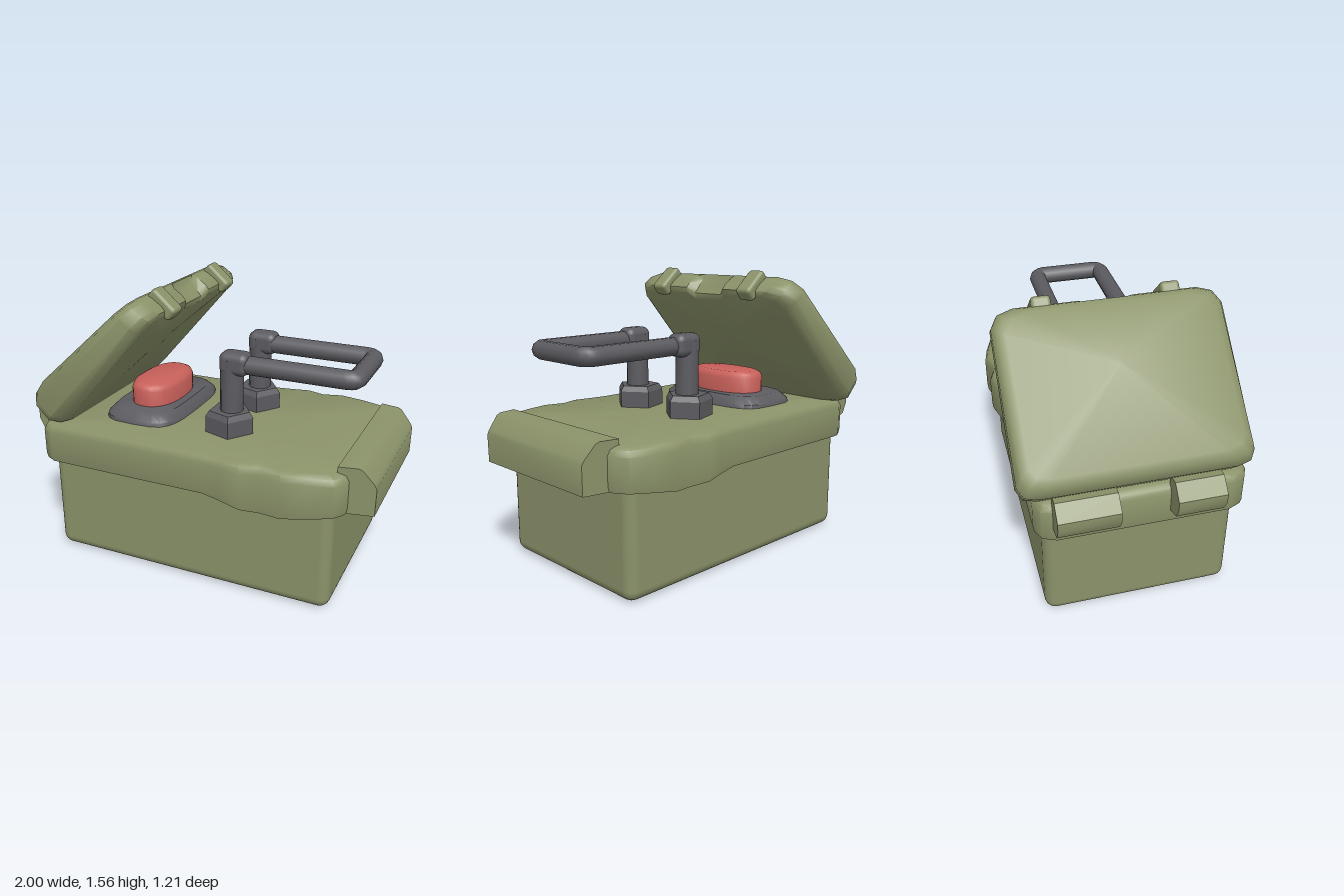
import * as THREE from 'three';
import { toCreasedNormals } from 'three/addons/utils/BufferGeometryUtils.js';
import { RoundedBoxGeometry } from 'three/addons/geometries/RoundedBoxGeometry.js';

const material = (name, color) => {
  const m = new THREE.MeshStandardMaterial({ color });
  m.name = name;
  return m;
};

// Closed solid through rings of [x, y, z] points, capped at both ends
function loft(rings, crease = 0.75) {
  const n = rings[0].length, pos = rings.flat(2), index = [];
  const centre = ring => [0, 1, 2].map(k => ring.reduce((s, p) => s + p[k], 0) / n);
  const last = rings.length - 1, c0 = n * rings.length, c1 = c0 + 1;
  pos.push(...centre(rings[0]), ...centre(rings[last]));
  for (let i = 0; i < n; i++) {
    const j = (i + 1) % n;
    for (let r = 0; r < last; r++) {
      const a = r * n + i, b = r * n + j;
      index.push(a, b, b + n, a, b + n, a + n);
    }
    index.push(c0, j, i, c1, last * n + i, last * n + j);
  }
  // Turn the faces outward by the sign of the volume
  const v = i => new THREE.Vector3().fromArray(pos, i * 3);
  let volume = 0;
  for (let i = 0; i < index.length; i += 3) volume += v(index[i]).dot(v(index[i + 1]).cross(v(index[i + 2])));
  if (volume < 0) index.reverse();
  const g = new THREE.BufferGeometry();
  g.setAttribute('position', new THREE.Float32BufferAttribute(pos, 3));
  g.setIndex(index);
  return toCreasedNormals(g, crease);
}

// Superellipse ring for the button and its plate
const oval = (cx, y, rx, rz, power) => Array.from({ length: 24 }, (_, i) => {
  const a = i / 24 * Math.PI * 2, c = Math.cos(a), s = Math.sin(a);
  return [cx + rx * Math.sign(c) * Math.abs(c) ** power, y, rz * Math.sign(s) * Math.abs(s) ** power];
});

export function createModel() {
  const model = new THREE.Group();
  const green = material('olive green', 0x8a9269);
  const grey = material('dark grey', 0x5c5b60);
  const red = material('button red', 0xc8605a);
  const add = (name, geometry, mat, x = 0, y = 0, z = 0) => {
    const mesh = new THREE.Mesh(geometry, mat);
    mesh.name = name;
    mesh.position.set(x, y, z);
    model.add(mesh);
    return mesh;
  };

  // Lower case
  add('body', new RoundedBoxGeometry(1.64, 0.66, 1.005, 3, 0.06), green, -0.01, 0.33, 0.01);

  // Rim with bulging sides and a sagging lower edge
  const side = [[-0.89, 0.45], [-0.86, 0.52], [-0.8, 0.55], [0.13, 0.55], [0.24, 0.566], [0.35, 0.588],
    [0.45, 0.556], [0.57, 0.588], [0.7, 0.562], [0.82, 0.525], [0.86, 0.47], [0.88, 0.4]];
  const outline = [...side, ...side.map(([x, z]) => [x, -z]).reverse()];
  const rimRing = (y, inset, sag) => outline.map(([x, z]) => [
    x * (1 - inset / 0.88),
    y - sag * Math.max(0, 1 - Math.abs(x - 0.46) / 0.34),
    z * (1 - inset / 0.55) + 0.015]);
  add('rim', loft([rimRing(0.57, 0.005, 0.04), rimRing(0.6, 0, 0.03), rimRing(0.745, 0, 0),
    rimRing(0.775, 0.012, 0), rimRing(0.79, 0.04, 0)]), green);

  // Raised lip on the end of the rim
  const lip = [[0.8, 0.57], [0.998, 0.57], [1, 0.72], [0.985, 0.745], [0.93, 0.81], [0.91, 0.82], [0.81, 0.82]];
  add('lip', loft([-1, 1].map(s => lip.map(([x, y]) => [x, y, 0.02 + s * (0.445 - 0.2 * (x - 0.82))]))), green);

  // Hinge knuckles behind the lid
  const knuckle = [[-0.86, 0.65], [-0.9, 0.645], [-0.97, 0.67], [-1, 0.73], [-1, 0.78], [-0.93, 0.85], [-0.86, 0.84]];
  for (const [z0, z1] of [[-0.45, -0.14], [0.14, 0.39]])
    add('hinge', loft([z0, z1].map(z => knuckle.map(([x, y]) => [x, y, z]))), green);

  // Open lid: t runs from inner to outer face, u from hinge to free edge
  const mix = THREE.MathUtils.lerp;
  const lidPoint = (t, u, z) => [
    mix(mix(-0.73, -0.15, u), mix(-0.915, -0.28, u), t),
    mix(mix(0.79, 1.45, u), mix(0.97, 1.54, u), t), z - 0.02];
  const lidRing = (t, low, high, half, notch) => {
    const h = [[low + 0.08, half], [low + 0.02, half - 0.03], [low, half - 0.1]];
    const f = [[high, half - 0.12], [high, 0.14], [high - notch, 0.1]];
    const e = [[high - 0.11, half], [high - 0.03, half - 0.04]];
    const half1 = [...h.reverse(), ...e, ...f];
    return [...half1, ...half1.map(([u, z]) => [u, -z]).reverse()].map(([u, z]) => lidPoint(t, u, z));
  };
  add('lid', loft([
    lidRing(0, 0, 0.96, 0.53, 0.05), lidRing(0.1, -0.04, 0.99, 0.565, 0.05), lidRing(0.3, -0.08, 1, 0.59, 0.05),
    lidRing(0.7, -0.08, 1, 0.59, 0.03), lidRing(0.9, -0.04, 0.99, 0.57, 0), lidRing(1, 0.01, 0.96, 0.53, 0)]), green);

  // Catches on the free edge of the lid
  for (const z of [-0.35, 0.31])
    add('lidCatch', new RoundedBoxGeometry(0.17, 0.08, 0.1, 2, 0.02), green, -0.197, 1.48, z).rotation.z = -0.72;

  // Button and its plate
  add('buttonPlate', loft([oval(-0.39, 0.77, 0.23, 0.37, 0.5), oval(-0.39, 0.81, 0.225, 0.365, 0.5),
    oval(-0.39, 0.85, 0.185, 0.32, 0.5)]), grey);
  add('button', loft([oval(-0.39, 0.83, 0.138, 0.24, 0.85), oval(-0.39, 0.935, 0.138, 0.24, 0.85),
    oval(-0.39, 0.958, 0.128, 0.23, 0.85), oval(-0.39, 0.97, 0.105, 0.205, 0.85)]), red);

  // Handle feet, posts and elbows
  for (const z of [-0.195, 0.21]) {
    const foot = new THREE.CylinderGeometry(0.115, 0.135, 0.03, 5);
    const collar = new THREE.CylinderGeometry(0.135, 0.135, 0.1, 5);
    for (const [g, y] of [[collar, 0.83], [foot, 0.895]]) {
      g.rotateY(Math.PI / 2);
      add('handleFoot', toCreasedNormals(g, 0.6), grey, 0.13, y, z);
    }
    add('handlePost', toCreasedNormals(new THREE.CylinderGeometry(0.063, 0.063, 0.31, 10), 0.8), grey, 0.14, 1.045, z);
    add('handleElbow', new RoundedBoxGeometry(0.165, 0.125, 0.118, 3, 0.04), grey, 0.162, 1.177, z);
  }

  // Grip bent from two arms and a cross bar
  const grip = new THREE.CurvePath();
  const p = (x, z) => new THREE.Vector3(x, 1.173, z);
  grip.add(new THREE.LineCurve3(p(0.17, -0.185), p(0.76, -0.185)));
  grip.add(new THREE.QuadraticBezierCurve3(p(0.76, -0.185), p(0.805, -0.18), p(0.805, -0.14)));
  grip.add(new THREE.LineCurve3(p(0.805, -0.14), p(0.805, 0.17)));
  grip.add(new THREE.QuadraticBezierCurve3(p(0.805, 0.17), p(0.805, 0.21), p(0.76, 0.213)));
  grip.add(new THREE.LineCurve3(p(0.76, 0.213), p(0.17, 0.213)));
  add('handleGrip', new THREE.TubeGeometry(grip, 90, 0.05, 10), grey);

  return model;
}
